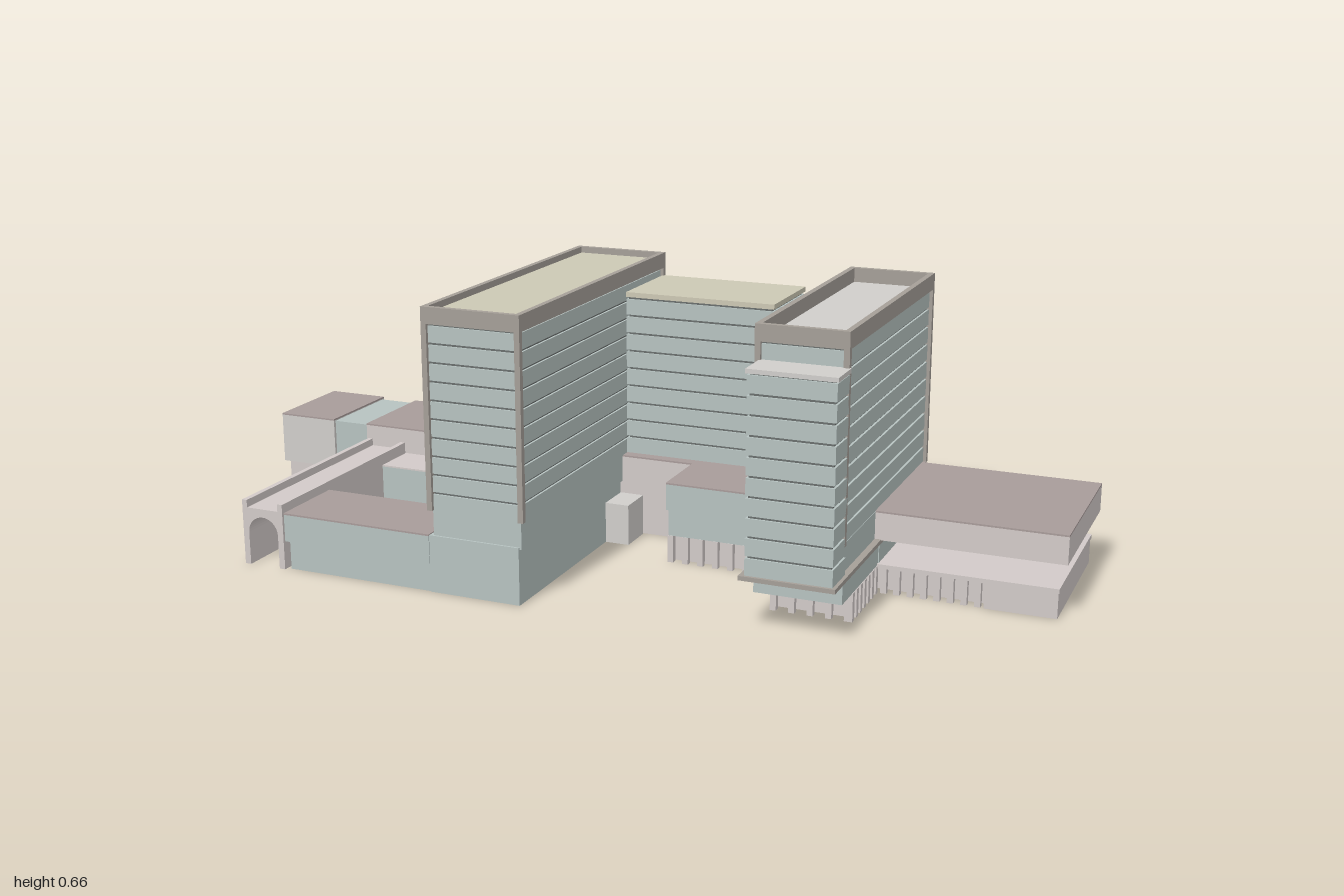
import * as THREE from 'three';

const mat = (color) => new THREE.MeshStandardMaterial({ color, flatShading: true });
const glass = mat(0xb6c2c0), roofPink = mat(0xa89c9a), beige = mat(0xccc8b4),
  stone = mat(0xd2cac8), trim = mat(0xa59f98), slot = mat(0x6a6f6e), pale = mat(0xd0cecb);

export function createModel() {
  const model = new THREE.Group();
  // everything is laid out on a street grid, then turned as a whole
  const site = new THREE.Group();
  site.name = 'hospitalComplex';
  site.rotation.y = -THREE.MathUtils.degToRad(31);
  model.add(site);

  // box given by its limits
  function box(name, x0, x1, y0, y1, z0, z1, m, parent = site) {
    const b = new THREE.Mesh(new THREE.BoxGeometry(x1 - x0, y1 - y0, z1 - z0), m);
    b.position.set((x0 + x1) / 2, (y0 + y1) / 2, (z0 + z1) / 2);
    b.name = name;
    parent.add(b);
    return b;
  }

  // volume with a thin roof sheet in another colour
  function wing(name, x0, x1, y0, y1, z0, z1, wall, roof) {
    box(name, x0, x1, y0, y1 - 0.004, z0, z1, wall);
    box(name + 'Roof', x0, x1, y1 - 0.004, y1, z0, z1, roof);
  }

  // slab block with a dark core and one facade band per storey
  function storeys(name, x0, x1, y0, y1, z0, z1, floors) {
    const g = new THREE.Group();
    g.name = name;
    site.add(g);
    const d = 0.005, h = (y1 - y0) / floors;
    box('core', x0 + d, x1 - d, y0, y1, z0 + d, z1 - d, slot, g);
    for (let i = 0; i < floors; i++) {
      box('floorBand', x0, x1, y0 + i * h, y0 + (i + 0.87) * h, z0, z1, glass, g);
    }
    return g;
  }

  // tower: storeys, corner piers, parapet ring and sunken roof
  function tower(name, x0, x1, y0, y1, z0, z1, roof, sunk) {
    const p = 0.008, w = 0.013, yp = y1 - 0.038;
    const g = storeys(name, x0 + p, x1 - p, y0, yp, z0 + p, z1 - p, 10);
    for (const x of [x0, x1 - w]) for (const z of [z0, z1 - w]) {
      box('cornerPier', x, x + w, y0, yp, z, z + w, trim, g);
    }
    box('parapetSide', x0, x0 + w, yp, y1, z0, z1, trim, g);
    box('parapetSide', x1 - w, x1, yp, y1, z0, z1, trim, g);
    box('parapetEnd', x0 + w, x1 - w, yp, y1, z0, z0 + w, trim, g);
    box('parapetEnd', x0 + w, x1 - w, yp, y1, z1 - w, z1, trim, g);
    box('roof', x0 + w, x1 - w, yp, y1 - sunk, z0 + w, z1 - w, roof, g);
  }

  // row of piers along x or z
  function piers(n, xa, xb, za, zb, y1) {
    for (let i = 0; i < n; i++) {
      const x = xa + (xb - xa) * i / (n - 1), z = za + (zb - za) * i / (n - 1);
      box('pier', x - 0.007, x + 0.007, 0, y1, z - 0.007, z + 0.007, stone);
    }
  }

  // towers and the connecting block
  tower('westTower', -0.325, -0.085, 0.195, 0.66, -0.25, 0.555, beige, 0.015);
  tower('eastTower', 0.4, 0.607, 0.195, 0.66, -0.247, 0.43, pale, 0.034);
  storeys('connector', -0.09, 0.285, 0.2, 0.59, -0.243, -0.018, 9);
  box('connectorRoof', -0.09, 0.287, 0.59, 0.602, -0.246, -0.016, beige);

  // stair block on the front of the east tower
  storeys('stairBlock', 0.412, 0.607, 0.132, 0.575, 0.42, 0.508, 10);
  box('stairBlockRoof', 0.41, 0.61, 0.573, 0.583, 0.425, 0.512, pale);
  box('stairBlockFloor', 0.4, 0.615, 0.122, 0.132, 0.1, 0.515, trim);

  // west tower podium
  box('podiumStorey', -0.315, -0.095, 0.13, 0.2, 0, 0.545, glass);
  box('podium', -0.325, -0.1, 0, 0.135, 0, 0.55, glass);
  box('podiumStep', -0.1, -0.04, 0, 0.1, 0, 0.09, pale);

  // rear wing: base, upper storey with a niche, glazed link and end block
  box('rearBase', -1.07, 0.4, 0, 0.068, -0.245, -0.004, stone);
  wing('rearUpper', -0.69, 0.09, 0.068, 0.197, -0.25, 0, stone, roofPink);
  box('nicheBack', -0.79, -0.69, 0.068, 0.13, -0.13, 0, glass);
  box('nicheSide', -0.825, -0.79, 0.068, 0.13, -0.25, 0, stone);
  wing('nicheHead', -0.825, -0.69, 0.13, 0.197, -0.25, 0, stone, roofPink);
  box('glazedLink', -0.925, -0.825, 0.068, 0.191, -0.243, -0.008, glass);
  wing('endBlock', -1.085, -0.925, 0.066, 0.197, -0.25, 0, pale, roofPink);

  // courtyard wings
  wing('courtyardWalk', -0.71, -0.325, 0, 0.13, 0, 0.115, glass, stone);
  box('frontWingBase', -0.7, -0.325, 0, 0.068, 0.365, 0.547, glass);
  wing('frontWing', -0.71, -0.325, 0.068, 0.137, 0.36, 0.552, glass, roofPink);

  // vaulted gallery with a trough roof
  const s = new THREE.Shape();
  s.moveTo(-0.055, 0);
  s.lineTo(-0.04, 0);
  s.lineTo(-0.04, 0.08);
  s.absarc(0, 0.08, 0.04, Math.PI, 0, true);
  s.lineTo(0.04, 0);
  s.lineTo(0.055, 0);
  s.lineTo(0.055, 0.158);
  s.lineTo(0.042, 0.158);
  s.lineTo(0.042, 0.14);
  s.lineTo(-0.042, 0.14);
  s.lineTo(-0.042, 0.158);
  s.lineTo(-0.055, 0.158);
  const gallery = new THREE.Mesh(
    new THREE.ExtrudeGeometry(s, { depth: 0.556, bevelEnabled: false, curveSegments: 10 }), stone);
  gallery.position.set(-0.766, 0, 0.001);
  gallery.name = 'vaultedGallery';
  site.add(gallery);

  // block between the towers, over a recessed base with piers
  box('middleBase', 0.1, 0.4, 0, 0.066, -0.01, 0.14, stone);
  box('middleStorey', 0.095, 0.607, 0.066, 0.13, -0.24, 0.16, glass);
  wing('middleUpper', 0.09, 0.606, 0.13, 0.197, -0.235, 0.166, glass, roofPink);
  piers(9, 0.1, 0.4, 0.155, 0.155, 0.066);

  // east tower ground floors
  box('towerStorey', 0.405, 0.605, 0.066, 0.122, 0.1, 0.43, glass);
  box('towerUpperStorey', 0.41, 0.6, 0.132, 0.196, 0.1, 0.42, glass);
  box('towerBase', 0.425, 0.59, 0, 0.066, -0.235, 0.33, stone);
  box('towerBackBase', 0.4, 0.607, 0, 0.066, -0.243, -0.15, stone);
  piers(5, 0.425, 0.595, 0.35, 0.35, 0.066);
  piers(7, 0.6, 0.6, 0.17, 0.35, 0.066);

  // east wing: base terrace, open gap, floating upper slab
  box('eastBase', 0.85, 1.012, 0, 0.06, -0.22, 0.166, stone);
  box('eastBaseRecess', 0.59, 0.85, 0, 0.06, -0.22, 0.135, stone);
  box('eastTerrace', 0.6, 1.014, 0.06, 0.07, -0.224, 0.168, stone);
  piers(8, 0.62, 0.835, 0.157, 0.157, 0.06);
  wing('eastUpper', 0.6, 1.03, 0.13, 0.198, -0.224, 0.176, stone, roofPink);

  return model;
}
